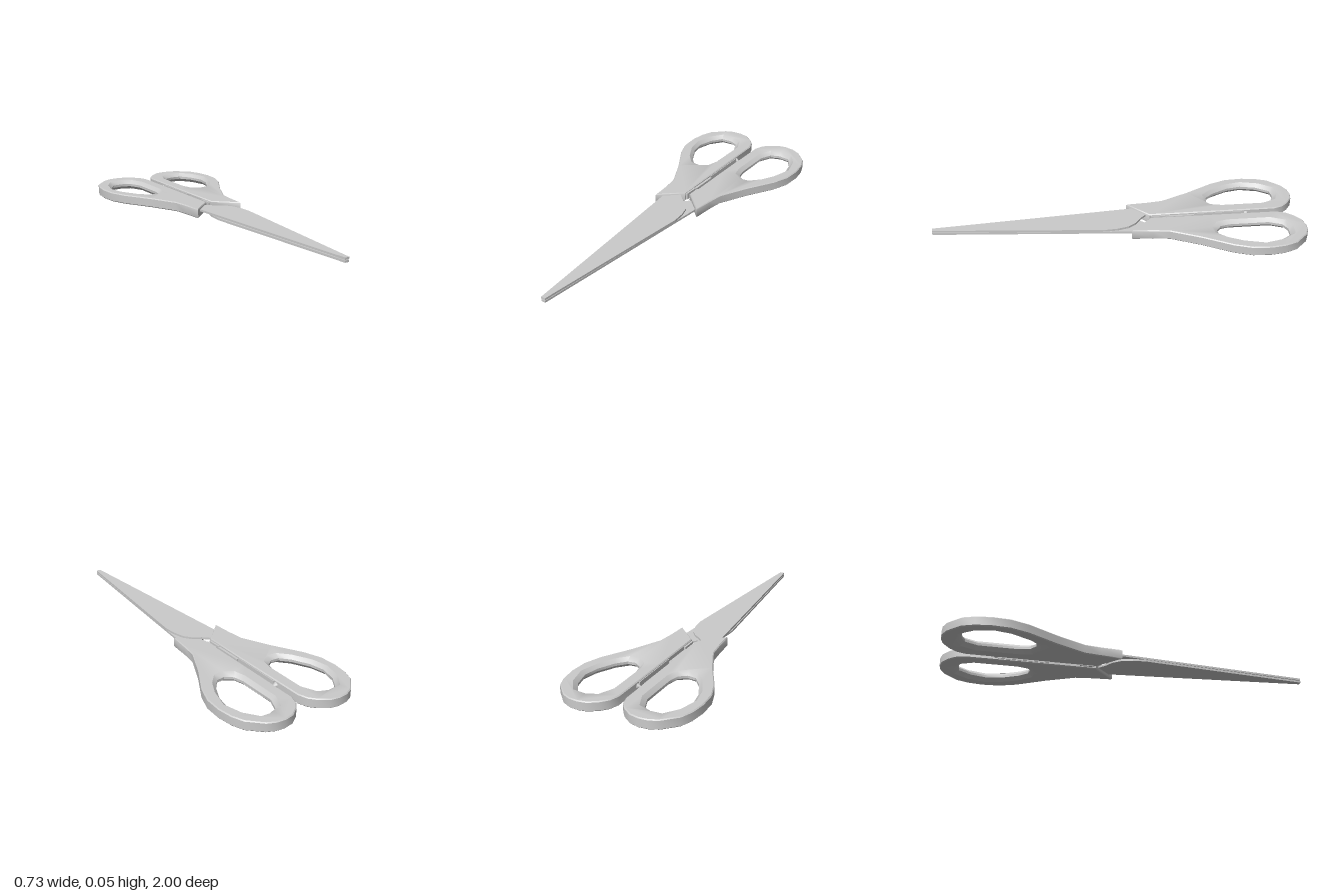
import * as THREE from 'three';
import { toCreasedNormals } from 'three/addons/utils/BufferGeometryUtils.js';

const material = new THREE.MeshStandardMaterial({ color: 0xcccccc });

// Outlines are [x, z] pairs for the +x side.
const HANDLE = [
  [0.165, -1], [0.215, -0.995], [0.26, -0.975], [0.33, -0.905], [0.355, -0.84], [0.366, -0.76],
  [0.36, -0.665], [0.325, -0.57], [0.235, -0.415], [0.16, -0.26], [0.148, -0.17], [0.138, -0.058],
  [0.016, -0.172], [0.016, -0.5], [0.018, -0.87], [0.035, -0.92], [0.065, -0.955], [0.115, -0.99],
];
const HOLE = [
  [0.175, -0.9], [0.235, -0.895], [0.28, -0.83], [0.302, -0.74], [0.286, -0.66], [0.24, -0.57],
  [0.195, -0.52], [0.15, -0.515], [0.11, -0.545], [0.097, -0.6], [0.097, -0.81], [0.127, -0.88],
];
const BLADE = [
  [0.11, -0.1], [0.012, 1], [-0.012, 1], [-0.098, 0.08], [-0.092, 0.01], [-0.075, -0.05],
  [-0.045, -0.09], [0, -0.12], [0.037, -0.155], [0.02, -0.24], [0.003, -0.26],
  [0.003, -0.42], [0.07, -0.42],
];

const toPoints = (outline, side) => outline.map(([x, z]) => new THREE.Vector2(side * x, -z));

// Extrudes a flat outline upward from height y.
function slab(shape, y, height, bevel = 0) {
  const g = new THREE.ExtrudeGeometry(shape, {
    depth: height - 2 * bevel, bevelEnabled: bevel > 0, bevelSize: bevel,
    bevelThickness: bevel, bevelOffset: -bevel, bevelSegments: 1,
  });
  return g.rotateX(-Math.PI / 2).translate(0, y + bevel, 0);
}

function addMesh(group, name, geometry) {
  const mesh = new THREE.Mesh(geometry, material);
  mesh.name = name;
  group.add(mesh);
}

function handleGeometry(side) {
  const bottom = 0.002, height = 0.053, middle = bottom + height / 2;
  const shape = new THREE.Shape(toPoints(HANDLE, side));
  // The hole runs against the outline so that its walls face inward
  shape.holes.push(new THREE.Path(toPoints(HOLE, side).reverse()));
  const g = slab(shape, bottom, height, 0.005);
  // Funnel the finger hole: wide rims above and below a narrow waist
  const p = g.attributes.position;
  for (let i = 0; i < p.count; i++) {
    const dx = p.getX(i) - side * 0.2, dz = p.getZ(i) + 0.705, dy = p.getY(i) - middle;
    if ((dx / 0.14) ** 2 + (dz / 0.25) ** 2 > 0.95) continue;
    if (Math.abs(dy) > height / 2 - 0.001) {
      p.setX(i, side * 0.2 + dx * 1.14);
      p.setZ(i, -0.705 + dz * 1.1);
    } else {
      p.setY(i, middle + Math.sign(dy) * 0.007);
    }
  }
  return toCreasedNormals(g, 0.7);
}

export function createModel() {
  const model = new THREE.Group();
  model.name = 'scissors';

  for (const side of [1, -1]) {
    const label = side > 0 ? 'left' : 'right';
    const half = new THREE.Group();
    half.name = label + 'Half';
    model.add(half);

    addMesh(half, label + 'Handle', handleGeometry(side));

    // The blades lie one above the other, with a hairline gap
    addMesh(half, label + 'Blade',
      slab(new THREE.Shape(toPoints(BLADE, side)), side > 0 ? 0.019 : 0.033, 0.011));

    // Raised strips along the inner edge of the handle: [inner x, back z, front z]
    for (const [x, z0, z1] of [[0.012, -0.7, -0.42], [0.006, -0.26, -0.18]]) {
      addMesh(half, label + 'InnerStrip',
        new THREE.BoxGeometry(0.024 - x, 0.036, z1 - z0)
          .translate(side * (0.024 + x) / 2, 0.029, (z0 + z1) / 2));
    }

    // Stop bump where the two handles meet
    addMesh(half, label + 'StopBump',
      new THREE.CylinderGeometry(0.004, 0.018, 0.02, 8)
        .rotateZ(side * Math.PI / 2).translate(side * 0.0105, 0.029, -0.71));
  }
  return model;
}
